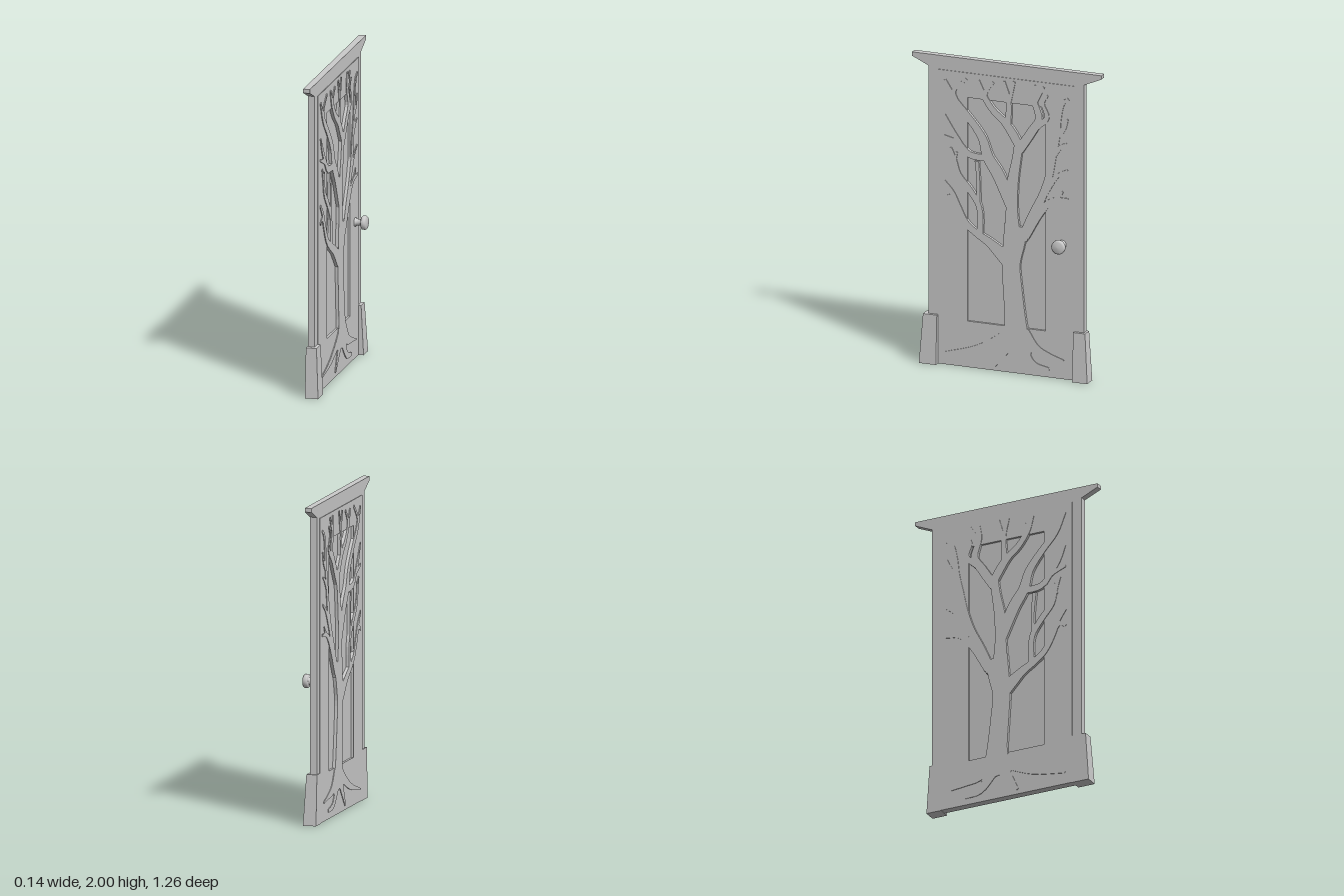
import * as THREE from 'three';

const grey = new THREE.MeshStandardMaterial({ color: 0xcccccc });
const S = 0.0053; // size of one sketch unit of the tree relief

function add(parent, geometry, name) {
  const mesh = new THREE.Mesh(geometry, grey);
  mesh.name = name;
  parent.add(mesh);
  return mesh;
}

// Flat outline (drawn as seen from +x) made solid between x0 and x1
function slab(shapes, x0, x1) {
  const g = new THREE.ExtrudeGeometry(shapes, { depth: x1 - x0, bevelEnabled: false });
  g.rotateY(Math.PI / 2);
  g.translate(x0, 0, 0);
  return g;
}

const outline = (pts) => new THREE.Shape(pts.map(([a, b]) => new THREE.Vector2(a, b)));
const rect = (a, b, c, d) => outline([[a, b], [c, b], [c, d], [a, d]]);

// Tapered limb: points are [across, up, width] in sketch units
function limb(points) {
  const curve = new THREE.CatmullRomCurve3(points.map((p) => new THREE.Vector3(...p)), false, 'centripetal');
  const n = (points.length - 1) * 4;
  const right = [], left = [];
  for (let i = 0; i <= n; i++) {
    const p = curve.getPoint(i / n);
    const t = curve.getTangent(i / n);
    const len = Math.hypot(t.x, t.y);
    const w = Math.max(p.z, 1) / 2;
    const dx = (t.y / len) * w, dy = (-t.x / len) * w;
    right.push([(p.x + dx) * S, (p.y + dy) * S]);
    left.unshift([(p.x - dx) * S, (p.y - dy) * S]);
  }
  return outline([...right, ...left]);
}

const trunk = [
  [[10, 29, 44], [12, 42, 36], [12, 58, 28], [8, 103, 24], [6, 135, 23], [10, 162, 27], [12, 181, 28]],
  [[8, 168, 20], [7, 198, 15], [8, 233, 14], [13, 263, 11], [16, 284, 11]],
];
const leftLimbs = [
  [[6, 205, 14], [-10, 241, 16], [-23, 261, 14], [-30, 283, 11], [-47, 306, 9], [-64, 325, 8], [-77, 349, 3]],
  [[-63, 325, 6], [-66, 336, 5], [-50, 353, 3]],
  [[-22, 259, 8], [-46, 261, 8], [-59, 273, 6], [-78, 280, 3]],
  [[-50, 262, 7], [-68, 288, 6], [-77, 306, 2]],
  [[4, 136, 20], [-8, 146, 16], [-22, 157, 11], [-36, 165, 9], [-50, 176, 8], [-62, 198, 8], [-68, 212, 6], [-78, 225, 3]],
  [[-64, 202, 6], [-70, 207, 5], [-78, 203, 3]],
  [[-33, 162, 8], [-34, 198, 7], [-46, 218, 8], [-60, 235, 7], [-65, 253, 5], [-70, 267, 3]],
  [[-35, 200, 5], [-35, 228, 4], [-37, 254, 5]],
  [[-66, 246, 4], [-62, 262, 2]],
];
const topLimbs = [
  [[17, 278, 11], [6, 296, 11], [-3, 307, 9], [-16, 318, 8], [-28, 335, 7], [-35, 353, 3]],
  [[-27, 333, 5], [-25, 342, 5], [-16, 353, 3]],
  [[2, 303, 8], [3, 333, 6], [-3, 356, 3]],
  [[4, 333, 5], [10, 357, 3]],
  [[16, 274, 11], [32, 299, 11], [41, 315, 9], [35, 338, 7], [36, 356, 4]],
  [[36, 335, 6], [47, 355, 3]],
  [[38, 305, 8], [51, 318, 6], [46, 335, 4], [52, 345, 2]],
];
const rightLimbs = [
  [[20, 165, 12], [34, 198, 11], [46, 223, 10], [54, 248, 9], [59, 273, 8], [64, 298, 7], [66, 318, 6], [71, 338, 5], [78, 344, 3]],
  [[48, 224, 7], [63, 247, 5], [77, 257, 2]],
  [[58, 270, 6], [68, 284, 5], [76, 289, 2]],
  [[64, 296, 5], [72, 306, 5], [77, 319, 2]],
  [[22, 170, 14], [42, 201, 10], [59, 218, 6], [78, 221, 3]],
  [[58, 217, 5], [66, 223, 4], [71, 230, 2]],
];
const roots = [
  [[10, 50, 22], [-6, 40, 14], [-36, 25, 8], [-77, 15, 2]],
  [[20, 50, 20], [36, 33, 13], [54, 27, 6], [72, 23, 2]],
  [[4, 36, 14], [-5, 22, 9], [-15, 6, 3]],
  [[18, 34, 14], [34, 14, 8], [54, 10, 4]],
];

export function createModel() {
  const model = new THREE.Group();
  model.name = 'door';

  // Posts and overhanging lintel in one piece, open below
  add(model, slab(outline([
    [-0.52, 0], [-0.455, 0], [-0.455, 1.91], [0.455, 1.91], [0.455, 0], [0.515, 0], [0.515, 1.925],
    [0.63, 1.975], [0.63, 2], [-0.63, 2], [-0.63, 1.975], [-0.52, 1.925],
  ]), -0.061, -0.018), 'frame');

  // Door leaf: raised border around a sunken field
  const border = rect(-0.455, 0.002, 0.455, 1.91);
  border.holes.push(rect(-0.26, 0.3, 0.26, 1.75));
  add(model, slab(border, -0.065, -0.014), 'doorBorder');
  add(model, slab(rect(-0.27, 0.29, 0.27, 1.76), -0.05, -0.028), 'doorField');

  // Tree relief passing through the leaf and showing on both faces
  const tree = new THREE.Group();
  tree.name = 'treeRelief';
  model.add(tree);
  for (const [name, limbs] of Object.entries({ trunk, leftLimbs, topLimbs, rightLimbs, roots })) {
    add(tree, slab(limbs.map(limb), -0.069, -0.009), name);
  }

  // Tapered plinth blocks at the foot of each post
  for (const [name, inner, bottom, top] of [
    ['leftPlinth', 0.457, 0.57, 0.549], ['rightPlinth', -0.45, -0.55, -0.529],
  ]) {
    const g = new THREE.BoxGeometry(1, 1, 1);
    const p = g.attributes.position;
    const side = Math.sign(inner);
    for (let i = 0; i < p.count; i++) {
      const up = p.getY(i) > 0;
      const outside = p.getZ(i) * side > 0;
      const front = up ? 0.002 : 0.018;
      p.setXYZ(i, p.getX(i) < 0 ? -0.066 : front, up ? 0.318 : 0, outside ? (up ? top : bottom) : inner);
    }
    g.computeVertexNormals();
    add(model, g, name);
  }

  // Round knob on a short stem
  const profile = [
    [0.028, -0.016], [0.028, -0.008], [0.021, -0.004], [0.021, 0.03], [0.037, 0.03],
    [0.044, 0.036], [0.044, 0.055], [0.036, 0.065], [0, 0.067],
  ].map(([r, h]) => new THREE.Vector2(r, h));
  const knob = add(model, new THREE.LatheGeometry(profile, 32), 'knob');
  knob.rotation.z = -Math.PI / 2;
  knob.position.set(0, 0.875, -0.37);

  return model;
}
